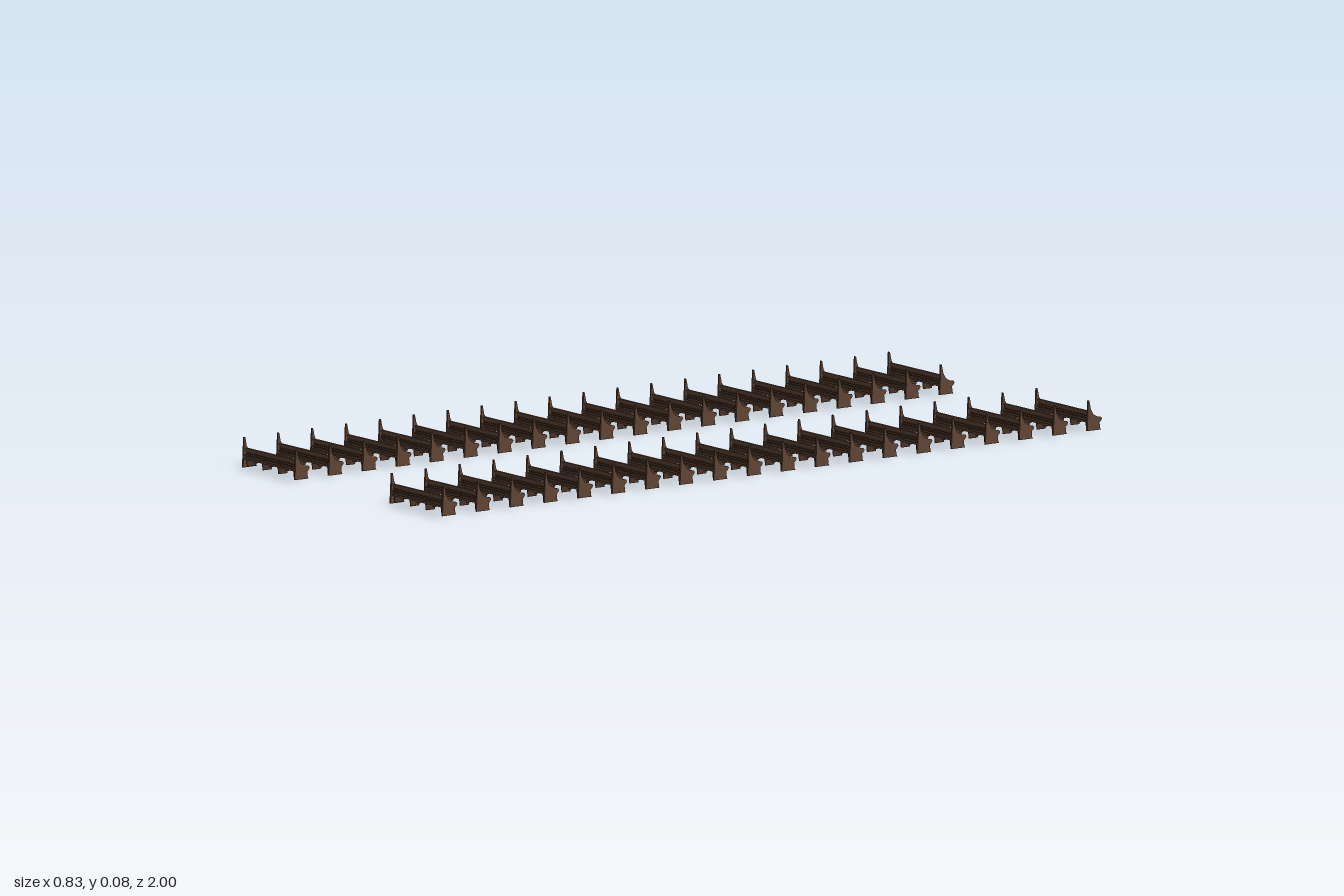
import * as THREE from 'three';

const ROWS = 20, PITCH = 0.1029;
const WIDTH = 0.219, DEPTH = 0.045, END = 0.005;

const wood = new THREE.MeshStandardMaterial({ color: 0x634736 });
const darkWood = new THREE.MeshStandardMaterial({ color: 0x4a3326 });
const cushionBlue = new THREE.MeshStandardMaterial({ color: 0x4a64b4 });

// Extrude a side outline, given as [z, y] points, along x and centre it.
function sideExtrude(points, width) {
  const shape = new THREE.Shape(points.map(([z, y]) => new THREE.Vector2(-z, y)));
  const geo = new THREE.ExtrudeGeometry(shape, { depth: width, bevelEnabled: false });
  geo.translate(0, 0, -width / 2);
  geo.rotateY(Math.PI / 2);
  return geo;
}

const inner = WIDTH - 2 * END;
const geos = {
  // tall at the back, sweeping down to an arm that overhangs the foot
  end: sideExtrude([
    [0.0225, 0], [0.021, 0.03], [0.019, 0.075], [0.016, 0.075], [0.0115, 0.054],
    [0.004, 0.04], [-0.009, 0.033], [-0.02, 0.031], [-0.0225, 0.027],
    [-0.0195, 0.022], [-0.015, 0.018], [-0.0165, 0.004], [-0.019, 0],
  ], END),
  // leaning backrest
  back: sideExtrude([[0.005, 0.018], [0.009, 0.018], [0.0145, 0.045], [0.0105, 0.045]], inner),
  cap: new THREE.BoxGeometry(inner, 0.004, 0.007),
  rail: new THREE.BoxGeometry(inner, 0.003, 0.003),
  seat: new THREE.BoxGeometry(inner, 0.003, 0.026),
  cushion: new THREE.BoxGeometry(inner - 0.002, 0.004, 0.024),
  shelf: new THREE.BoxGeometry(inner, 0.002, 0.01),
  lip: new THREE.BoxGeometry(inner, 0.005, 0.0015),
  support: sideExtrude([
    [0.016, 0.003], [0.018, 0.021], [0.019, 0.033], [0.011, 0.033],
    [0.006, 0.02], [-0.014, 0.02], [-0.01, 0.003],
  ], 0.0018),
  block: new THREE.BoxGeometry(0.008, 0.005, 0.008),
};

function add(group, name, geo, mat, x = 0, y = 0, z = 0) {
  const mesh = new THREE.Mesh(geo, mat);
  mesh.name = name;
  mesh.position.set(x, y, z);
  group.add(mesh);
}

function createPew() {
  const pew = new THREE.Group();
  pew.name = 'pew';

  // End panels
  for (const s of [-1, 1]) add(pew, 'endPanel', geos.end, wood, s * (WIDTH - END) / 2);

  // Backrest with cap and trim rails
  add(pew, 'backrest', geos.back, wood);
  add(pew, 'backrestCap', geos.cap, wood, 0, 0.046, 0.0125);
  add(pew, 'backrestRail', geos.rail, darkWood, 0, 0.036, 0.013);

  // Seat, facing -z
  add(pew, 'seat', geos.seat, wood, 0, 0.0215, -0.0065);
  add(pew, 'seatCushion', geos.cushion, cushionBlue, 0, 0.025, -0.007);

  // Book rack behind the backrest
  add(pew, 'bookShelf', geos.shelf, wood, 0, 0.021, 0.014);
  add(pew, 'bookShelfLip', geos.lip, wood, 0, 0.0225, 0.0185);
  add(pew, 'bookRackRail', geos.rail, wood, 0, 0.031, 0.0185);

  // Upright supports, with a small block under the rack in each gap
  for (let i = 0; i < 4; i++) add(pew, 'support', geos.support, darkWood, (i - 1.5) * 0.0645);
  for (let i = -1; i <= 1; i++) add(pew, 'rackBlock', geos.block, wood, i * 0.0645, 0.0185, 0.014);
  return pew;
}

export function createModel() {
  const model = new THREE.Group();
  model.name = 'pewRows';
  const pew = createPew();
  for (const side of [-1, 1]) {
    const column = new THREE.Group();
    column.name = side > 0 ? 'leftColumn' : 'rightColumn';
    column.position.x = side * 0.3045;
    for (let i = 0; i < ROWS; i++) {
      const row = pew.clone();
      row.position.z = -1 + DEPTH / 2 + i * PITCH;
      column.add(row);
    }
    model.add(column);
  }
  return model;
}
